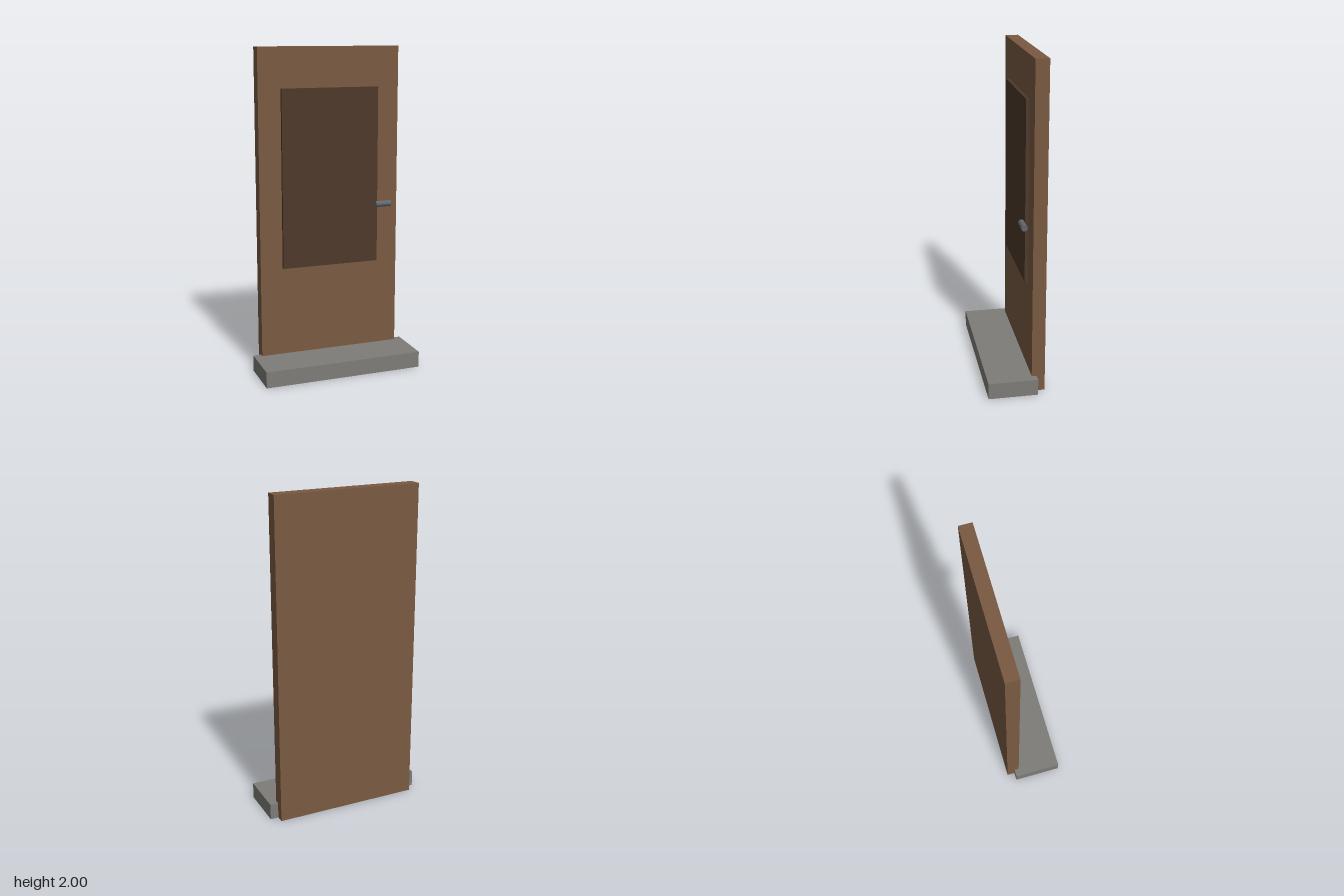
import * as THREE from 'three';

export function createModel() {
  const group = new THREE.Group();

  const add = (name, geometry, color, x, y, z) => {
    const mesh = new THREE.Mesh(geometry, new THREE.MeshStandardMaterial({ color }));
    mesh.name = name;
    mesh.position.set(x, y, z);
    group.add(mesh);
    return mesh;
  };

  // Stone step in front of and partly around the door foot
  add('step', new THREE.BoxGeometry(1, 0.1, 0.3), 0x7d7c78, 0, 0.05, 0.025);

  // Door slab, lifted a hair so its underside does not clash with the step's
  add('doorSlab', new THREE.BoxGeometry(0.9, 1.999, 0.08), 0x7a5a42, 0, 1.0005, -0.135);

  // Raised dark panel, set into the front of the slab
  add('doorPanel', new THREE.BoxGeometry(0.62, 1.1, 0.04), 0x4e392b, 0, 1.205, -0.095);

  // Horizontal bar handle
  const handle = add('handle', new THREE.CylinderGeometry(0.019, 0.019, 0.1, 16), 0x63666b, 0.34, 1.025, -0.056);
  handle.rotation.z = Math.PI / 2;

  return group;
}
